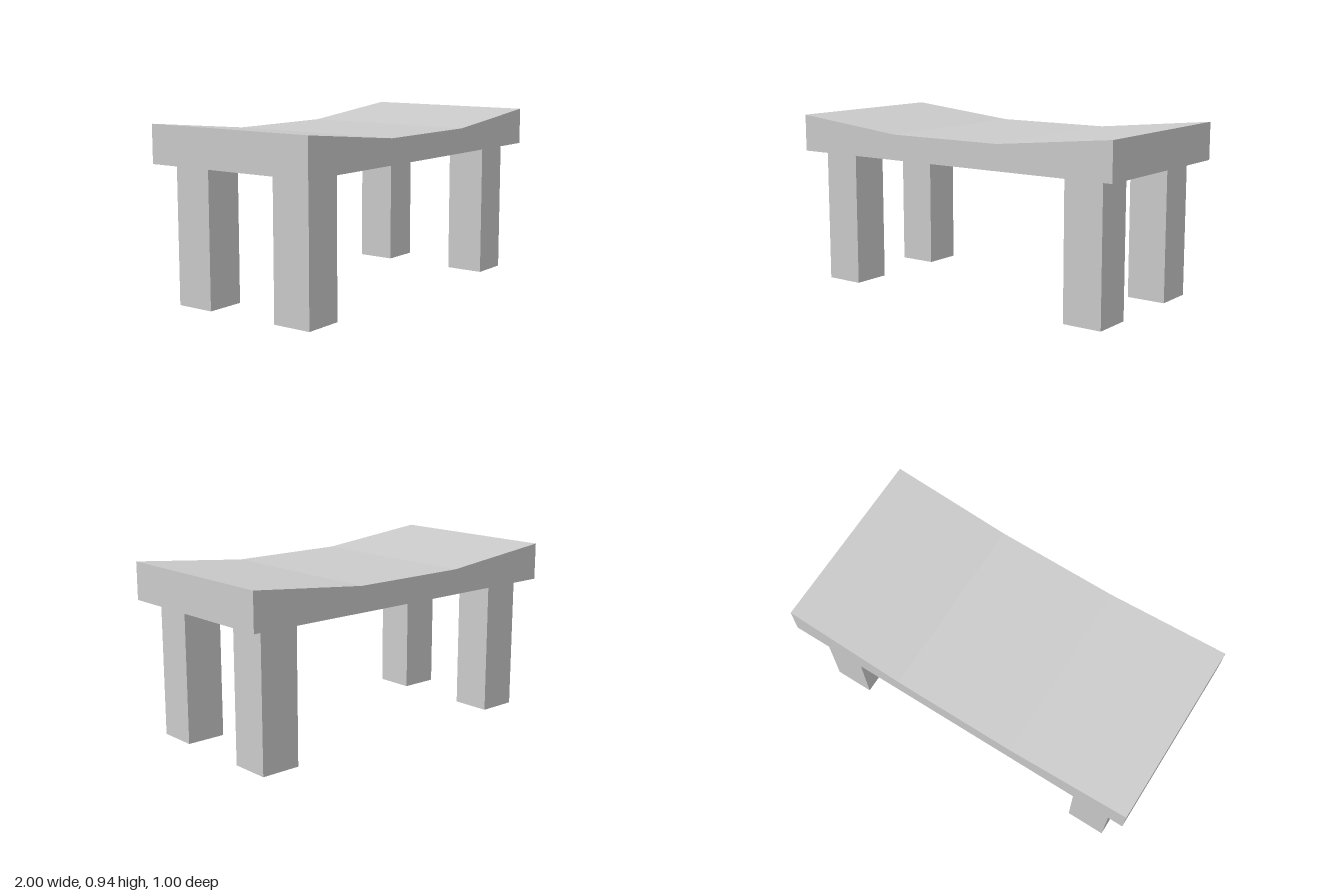
import * as THREE from 'three';

const SEAT_BOTTOM = 0.737;
const DEPTH = 1;

export function createModel() {
  const group = new THREE.Group();
  group.name = 'bench';
  const material = new THREE.MeshStandardMaterial({ color: 0xcccccc, flatShading: true });

  // Seat slab: flat underside, top dipping in three facets towards the middle
  const profile = new THREE.Shape([
    [-1, SEAT_BOTTOM], [1, SEAT_BOTTOM], [1, 0.94],
    [0.335, 0.873], [-0.335, 0.873], [-1, 0.94],
  ].map(([x, y]) => new THREE.Vector2(x, y)));
  const seatGeometry = new THREE.ExtrudeGeometry(profile, { depth: DEPTH, bevelEnabled: false });
  seatGeometry.translate(0, 0, -DEPTH / 2);
  const seat = new THREE.Mesh(seatGeometry, material);
  seat.name = 'seat';
  group.add(seat);

  // Four square legs, mirrored across both axes
  const legGeometry = new THREE.BoxGeometry(0.217, SEAT_BOTTOM, 0.217);
  for (const [sideName, sx] of [['Left', 1], ['Right', -1]]) {
    for (const [endName, sz] of [['front', 1], ['back', -1]]) {
      const leg = new THREE.Mesh(legGeometry, material);
      leg.name = `${endName}${sideName}Leg`;
      leg.position.set(sx * 0.798, SEAT_BOTTOM / 2, sz * 0.318);
      group.add(leg);
    }
  }
  return group;
}
